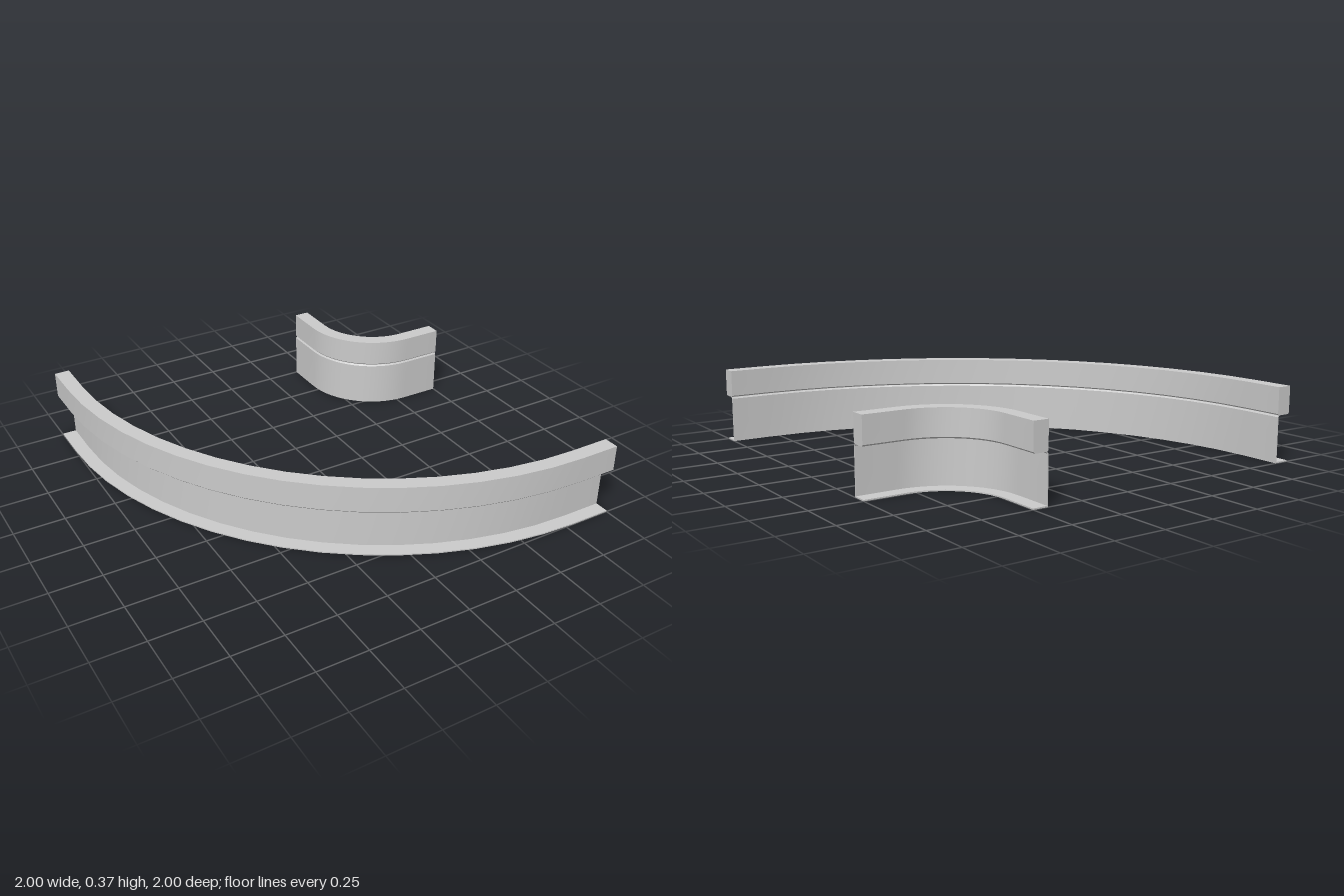
import * as THREE from 'three';
import { toCreasedNormals } from 'three/addons/utils/BufferGeometryUtils.js';

const CENTER = { x: 0.8, z: -0.8 }; // both barriers bend about this point
const STRAIGHT = 0.2;               // straight run at each end
const SEGMENTS = 16;

// Cross-sections as [distance behind the track face, height], counter-clockwise
const W = 0.075, C = 0.007;
const PARTS = {
  foot: [[0, 0], [W, 0], [W, 0.006], [0, 0.006]],
  panel: [[0, 0.006], [0.005, 0.006], [0.005, 0.222], [0.012, 0.23], [0.012, 0.238], [0.006, 0.238], [0.006, 0.23], [0, 0.222]],
  rail: [[C, 0.23], [W - C, 0.23], [W, 0.23 + C], [W, 0.365], [0, 0.365], [0, 0.23 + C]],
};

// Stations along the path: straight, quarter arc, straight
function stations() {
  const list = [{ a: 0, dx: 0, dz: -STRAIGHT }];
  for (let i = 0; i <= SEGMENTS; i++) list.push({ a: (i / SEGMENTS) * Math.PI / 2, dx: 0, dz: 0 });
  list.push({ a: Math.PI / 2, dx: STRAIGHT, dz: 0 });
  return list;
}

// Sweep a section of [radius, height] points along the path, with end caps
function sweep(section) {
  const path = stations(), n = section.length, pos = [], idx = [];
  for (const { a, dx, dz } of path) {
    for (const [r, y] of section) {
      pos.push(CENTER.x - r * Math.cos(a) + dx, y, CENTER.z + r * Math.sin(a) + dz);
    }
  }
  for (let i = 0; i < path.length - 1; i++) {
    for (let j = 0; j < n; j++) {
      const a = i * n + j, b = i * n + (j + 1) % n, c = b + n, d = a + n;
      idx.push(a, d, c, a, c, b);
    }
  }
  const last = (path.length - 1) * n;
  const contour = section.map(([r, y]) => new THREE.Vector2(r, y));
  for (const [a, b, c] of THREE.ShapeUtils.triangulateShape(contour, [])) {
    idx.push(a, b, c, last + a, last + c, last + b);
  }
  const geo = new THREE.BufferGeometry();
  geo.setAttribute('position', new THREE.Float32BufferAttribute(pos, 3));
  geo.setIndex(idx);
  return toCreasedNormals(geo, 0.5);
}

// One barrier: side +1 has its back away from the bend centre, -1 towards it
function barrier(name, faceRadius, side, material) {
  const group = new THREE.Group();
  group.name = name;
  for (const [part, profile] of Object.entries(PARTS)) {
    const section = profile.map(([d, y]) => [faceRadius + side * d, y]);
    if (side < 0) section.reverse();
    const mesh = new THREE.Mesh(sweep(section), material);
    mesh.name = part;
    group.add(mesh);
  }
  return group;
}

export function createModel() {
  const material = new THREE.MeshStandardMaterial({ color: 0xcccccc, side: THREE.DoubleSide });
  const model = new THREE.Group();
  model.name = 'curvedBarriers';
  model.add(barrier('outerBarrier', 1.725, 1, material));
  model.add(barrier('innerBarrier', 0.375, -1, material));
  return model;
}
